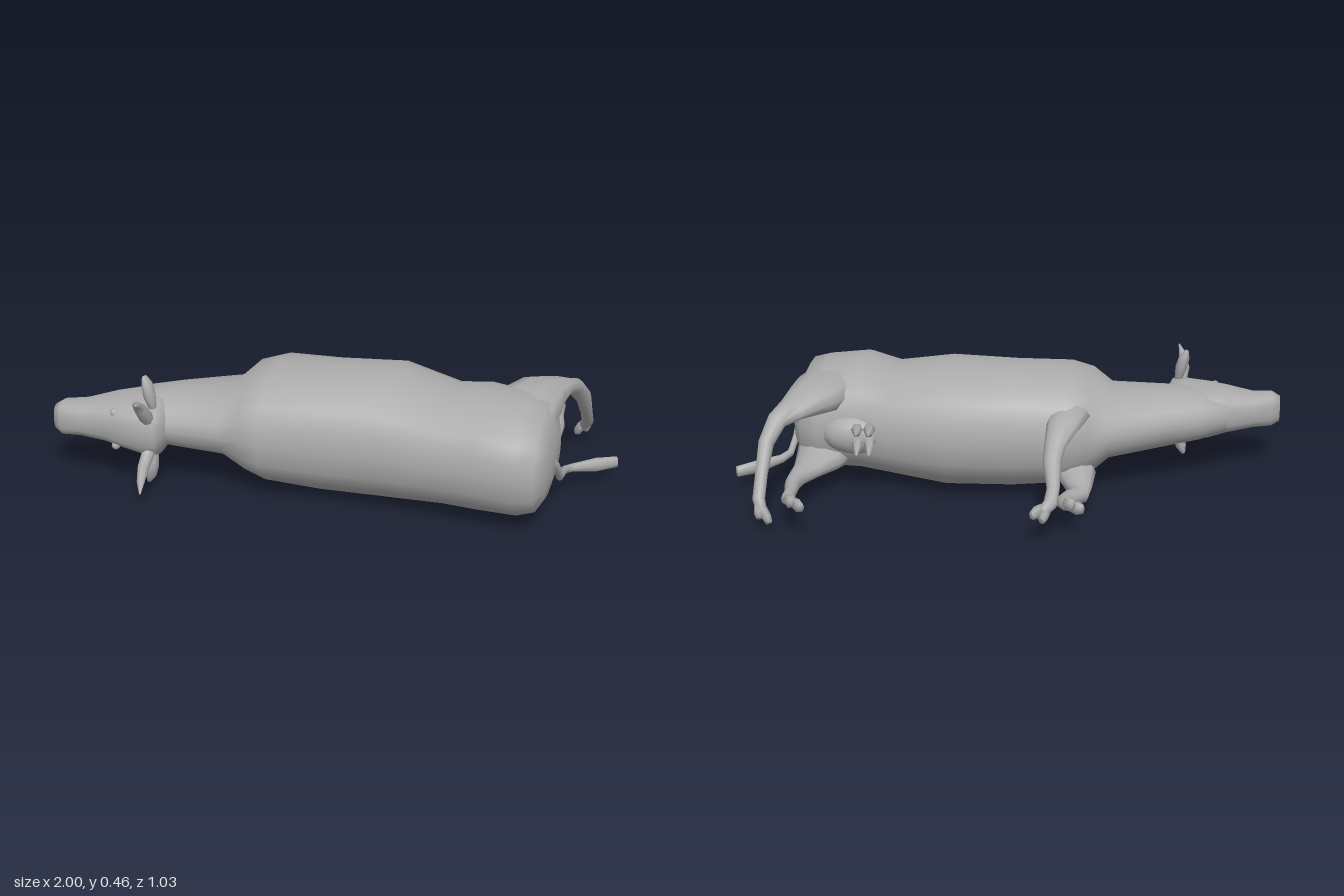
import * as THREE from 'three';

const material = new THREE.MeshStandardMaterial({ color: 0xacacac });
const X = new THREE.Vector3(1, 0, 0);
const Z = new THREE.Vector3(0, 0, 1);

// Closed skin over rows of [x, y, z, radius along ref, radius across, roundness (1 = ellipse, less = boxier)].
function loft(name, rows, { ref = X, tangent = null, sides = 10 } = {}) {
  const pos = [], index = [];
  const centres = rows.map(r => new THREE.Vector3(r[0], r[1], r[2]));
  rows.forEach(([, , , ru, rv, power = 1], i) => {
    const t = tangent ? tangent.clone() : centres[Math.min(i + 1, rows.length - 1)].clone()
      .sub(centres[Math.max(i - 1, 0)]).normalize();
    const u = ref.clone().addScaledVector(t, -ref.dot(t)).normalize();
    const v = t.clone().cross(u);
    const bend = c => Math.sign(c) * Math.abs(c) ** power;
    for (let k = 0; k < sides; k++) {
      const a = k / sides * Math.PI * 2;
      const p = centres[i].clone().addScaledVector(u, bend(Math.cos(a)) * ru)
        .addScaledVector(v, bend(Math.sin(a)) * rv);
      pos.push(p.x, p.y, p.z);
    }
  });
  const first = pos.length / 3, last = first + 1, end = (rows.length - 1) * sides;
  pos.push(...centres[0].toArray(), ...centres.at(-1).toArray());
  for (let k = 0; k < sides; k++) {
    const n = (k + 1) % sides;
    for (let i = 0; i < rows.length - 1; i++) {
      const a = i * sides + k, b = i * sides + n;
      index.push(a, b, a + sides, b, b + sides, a + sides);
    }
    index.push(first, n, k, last, end + k, end + n);
  }
  const g = new THREE.BufferGeometry();
  g.setAttribute('position', new THREE.Float32BufferAttribute(pos, 3));
  g.setIndex(index);
  g.computeVertexNormals();
  const mesh = new THREE.Mesh(g, material);
  mesh.name = name;
  return mesh;
}

// Leg with a cloven hoof continuing its last segment.
function leg(name, rows) {
  const group = new THREE.Group();
  group.name = name;
  group.add(loft(name + 'Limb', rows));
  const tip = new THREE.Vector3(...rows.at(-1).slice(0, 3));
  const dir = tip.clone().sub(new THREE.Vector3(...rows.at(-2).slice(0, 3))).normalize();
  for (const s of [-1, 1]) {
    const at = (d, w) => tip.clone().addScaledVector(dir, d).add(new THREE.Vector3(s * w, s * w * 0.5, 0)).toArray();
    group.add(loft('hoofClaw', [
      [...at(-0.015, 0.008), 0.015, 0.02],
      [...at(0.015, 0.014), 0.017, 0.026],
      [...at(0.035, 0.017), 0.012, 0.018],
    ], { sides: 6 }));
  }
  return group;
}

export function createModel() {
  const model = new THREE.Group();
  model.name = 'lyingCow';

  // Axis-aligned sections: x, belly z, back z, lower y, upper y, roundness
  const section = ([x, z0, z1, y0, y1, p]) => [x, (y0 + y1) / 2, (z0 + z1) / 2, (z1 - z0) / 2, (y1 - y0) / 2, p];
  const along = { ref: Z, tangent: X, sides: 20 };

  // Trunk with neck
  model.add(loft('body', [
    [-0.80, 0.14, 0.35, 0.18, 0.30, 0.9],
    [-0.70, 0.09, 0.36, 0.15, 0.33, 0.9],
    [-0.58, 0.03, 0.36, 0.135, 0.345, 0.95],
    [-0.37, -0.07, 0.36, 0.11, 0.36, 0.95],
    [-0.30, -0.12, 0.37, 0.05, 0.425, 0.9],
    [-0.22, -0.155, 0.39, 0.025, 0.445, 0.85],
    [-0.02, -0.15, 0.37, 0.003, 0.45, 0.85],
    [0.22, -0.175, 0.38, 0.003, 0.46, 0.88],
    [0.43, -0.115, 0.39, 0.02, 0.42, 0.88],
    [0.55, -0.09, 0.42, 0.027, 0.445, 0.88],
    [0.70, -0.08, 0.43, 0.035, 0.42, 0.82],
    [0.765, -0.05, 0.42, 0.06, 0.40, 0.8],
    [0.795, 0.0, 0.37, 0.11, 0.34, 0.8],
    [0.81, 0.08, 0.29, 0.17, 0.28, 0.9],
  ].map(section), along));

  // Head from muzzle to poll, with a flat face
  model.add(loft('head', [
    [-1.0, 0.285, 0.35, 0.185, 0.28, 0.75],
    [-0.97, 0.262, 0.37, 0.168, 0.297, 0.75],
    [-0.90, 0.225, 0.375, 0.17, 0.297, 0.75],
    [-0.80, 0.17, 0.392, 0.16, 0.32, 0.75],
    [-0.73, 0.14, 0.405, 0.145, 0.33, 0.7],
    [-0.64, 0.15, 0.428, 0.135, 0.335, 0.75],
    [-0.595, 0.20, 0.42, 0.14, 0.33, 0.8],
    [-0.57, 0.25, 0.37, 0.19, 0.29, 0.9],
  ].map(section), along));

  // Paired features mirrored about the cow's own midline
  const mid = 0.233;
  for (const s of [-1, 1]) {
    const y = d => mid + s * d;
    model.add(loft('horn', [
      [-0.62, y(0.06), 0.39, 0.026, 0.026],
      [-0.635, y(0.115), 0.42, 0.022, 0.022],
      [-0.63, y(0.15), 0.465, 0.015, 0.015],
      [-0.615, y(0.172), 0.517, 0.003, 0.003],
    ], { sides: 8 }));
    model.add(loft('ear', [
      [-0.615, y(0.09), 0.35, 0.014, 0.016],
      [-0.625, y(0.14), 0.35, 0.022, 0.028],
      [-0.635, y(0.18), 0.345, 0.02, 0.026],
      [-0.645, y(0.208), 0.342, 0.008, 0.012],
    ], { sides: 8 }));
    const eye = new THREE.Mesh(new THREE.SphereGeometry(0.016, 10, 8), material);
    eye.name = 'eye';
    eye.position.set(-0.755, y(0.065), 0.372);
    model.add(eye);
    // Teats
    for (const x of [0.49, 0.535]) {
      model.add(loft('teat', [
        [x + 0.01, y(0.02), -0.08, 0.026, 0.026],
        [x, y(0.03), -0.15, 0.016, 0.018],
        [x - 0.005, y(0.04), -0.2, 0.004, 0.005],
      ], { sides: 6 }));
    }
  }

  // Udder
  const udder = new THREE.Mesh(new THREE.SphereGeometry(1, 14, 10), material);
  udder.name = 'udder';
  udder.scale.set(0.12, 0.075, 0.065);
  udder.position.set(0.56, 0.22, -0.06);
  model.add(udder);

  // Hind legs, with broad flat thighs blending into the rump
  model.add(leg('upperHindLeg', [
    [0.66, 0.3, 0.3, 0.07, 0.05],
    [0.67, 0.32, 0.18, 0.12, 0.08, 0.85],
    [0.68, 0.345, 0.04, 0.125, 0.075, 0.85],
    [0.715, 0.355, -0.07, 0.1, 0.053, 0.85],
    [0.768, 0.345, -0.16, 0.06, 0.034],
    [0.81, 0.325, -0.215, 0.038, 0.03],
    [0.84, 0.26, -0.27, 0.029, 0.032],
    [0.845, 0.17, -0.345, 0.023, 0.025],
    [0.845, 0.1, -0.405, 0.023, 0.024],
    [0.83, 0.065, -0.43, 0.019, 0.021],
  ]));
  model.add(leg('lowerHindLeg', [
    [0.66, 0.16, 0.3, 0.07, 0.05],
    [0.67, 0.14, 0.18, 0.12, 0.08, 0.85],
    [0.675, 0.125, 0.04, 0.12, 0.07, 0.85],
    [0.695, 0.115, -0.07, 0.09, 0.048],
    [0.72, 0.112, -0.16, 0.055, 0.036],
    [0.74, 0.114, -0.24, 0.034, 0.031],
    [0.745, 0.115, -0.3, 0.028, 0.029],
    [0.735, 0.12, -0.38, 0.022, 0.022],
    [0.73, 0.127, -0.45, 0.024, 0.024],
    [0.71, 0.127, -0.475, 0.019, 0.02],
  ]));

  // Forelegs, folded
  model.add(leg('upperForeleg', [
    [-0.23, 0.31, 0.02, 0.05, 0.04],
    [-0.23, 0.335, -0.08, 0.075, 0.04],
    [-0.21, 0.315, -0.16, 0.058, 0.034],
    [-0.19, 0.275, -0.235, 0.038, 0.03],
    [-0.185, 0.235, -0.285, 0.033, 0.03],
    [-0.195, 0.17, -0.37, 0.023, 0.023],
    [-0.19, 0.14, -0.43, 0.025, 0.025],
    [-0.165, 0.125, -0.47, 0.019, 0.02],
  ]));
  model.add(leg('lowerForeleg', [
    [-0.24, 0.14, 0.04, 0.05, 0.04],
    [-0.255, 0.11, -0.09, 0.075, 0.045],
    [-0.275, 0.09, -0.18, 0.046, 0.034],
    [-0.28, 0.09, -0.24, 0.034, 0.03],
    [-0.245, 0.1, -0.29, 0.03, 0.03],
    [-0.225, 0.11, -0.345, 0.024, 0.023],
    [-0.24, 0.12, -0.385, 0.023, 0.023],
    [-0.26, 0.125, -0.405, 0.018, 0.02],
  ]));

  // Tail with flattened tuft
  model.add(loft('tail', [
    [0.79, 0.25, 0.235, 0.014, 0.012],
    [0.81, 0.19, 0.175, 0.014, 0.016],
    [0.818, 0.125, 0.12, 0.013, 0.018],
    [0.82, 0.1, 0.02, 0.013, 0.015],
    [0.845, 0.092, -0.02, 0.015, 0.016],
    [0.92, 0.083, -0.08, 0.016, 0.027],
    [0.99, 0.08, -0.128, 0.014, 0.022],
  ], { sides: 8 }));

  return model;
}
